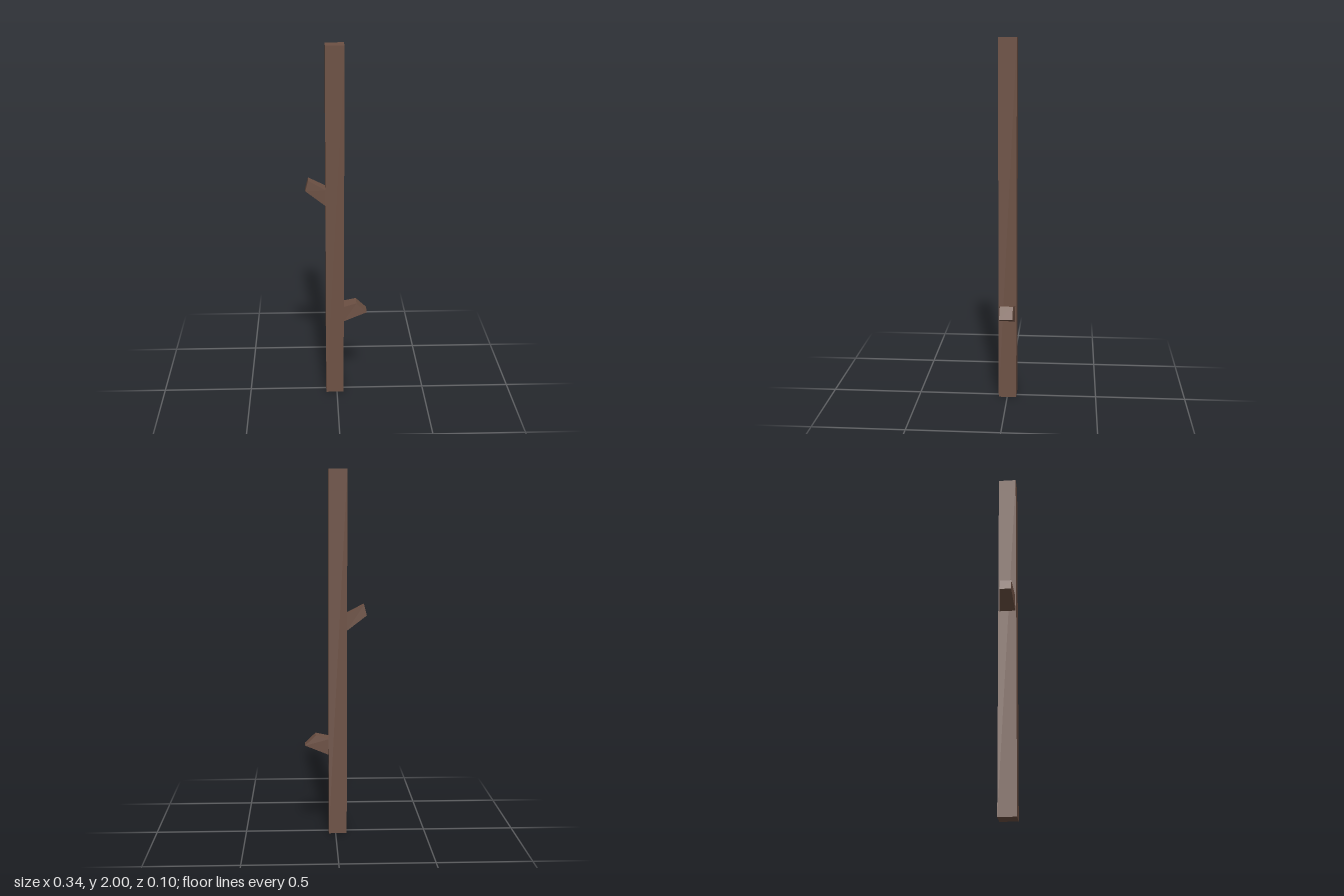
import * as THREE from 'three';

// Box whose -x and +x ends are quads: each end gives [x, y] of its bottom and top edge and a z half-width.
function taperedBox(start, end, zMid) {
  const geometry = new THREE.BoxGeometry(1, 1, 1);
  const p = geometry.attributes.position;
  for (let i = 0; i < p.count; i++) {
    const section = p.getX(i) < 0 ? start : end;
    const [x, y] = p.getY(i) < 0 ? section.bottom : section.top;
    p.setXYZ(i, x, y, zMid + Math.sign(p.getZ(i)) * section.halfZ);
  }
  geometry.computeVertexNormals();
  return geometry;
}

export function createModel() {
  const group = new THREE.Group();
  group.name = 'branchedPost';
  const bark = new THREE.MeshStandardMaterial({ color: 0x6d5144, flatShading: true });
  bark.name = 'brown bark';

  const add = (name, geometry) => {
    const mesh = new THREE.Mesh(geometry, bark);
    mesh.name = name;
    group.add(mesh);
    return mesh;
  };

  // Square upright trunk, slightly off centre
  add('trunk', new THREE.BoxGeometry(0.1, 2, 0.099)).position.set(-0.012, 1, -0.0015);

  // Upper stub, rising to the right side (-x)
  add('upperBranch', taperedBox(
    { bottom: [-0.17, 1.222], top: [-0.155, 1.281], halfZ: 0.031 },
    { bottom: [-0.06, 1.14], top: [-0.06, 1.23], halfZ: 0.044 },
    -0.001
  ));

  // Lower stub with a slanted cut, on the left side (+x)
  add('lowerBranch', taperedBox(
    { bottom: [0.036, 0.45], top: [0.036, 0.54], halfZ: 0.044 },
    { bottom: [0.168, 0.502], top: [0.109, 0.558], halfZ: 0.036 },
    -0.001
  ));

  return group;
}
